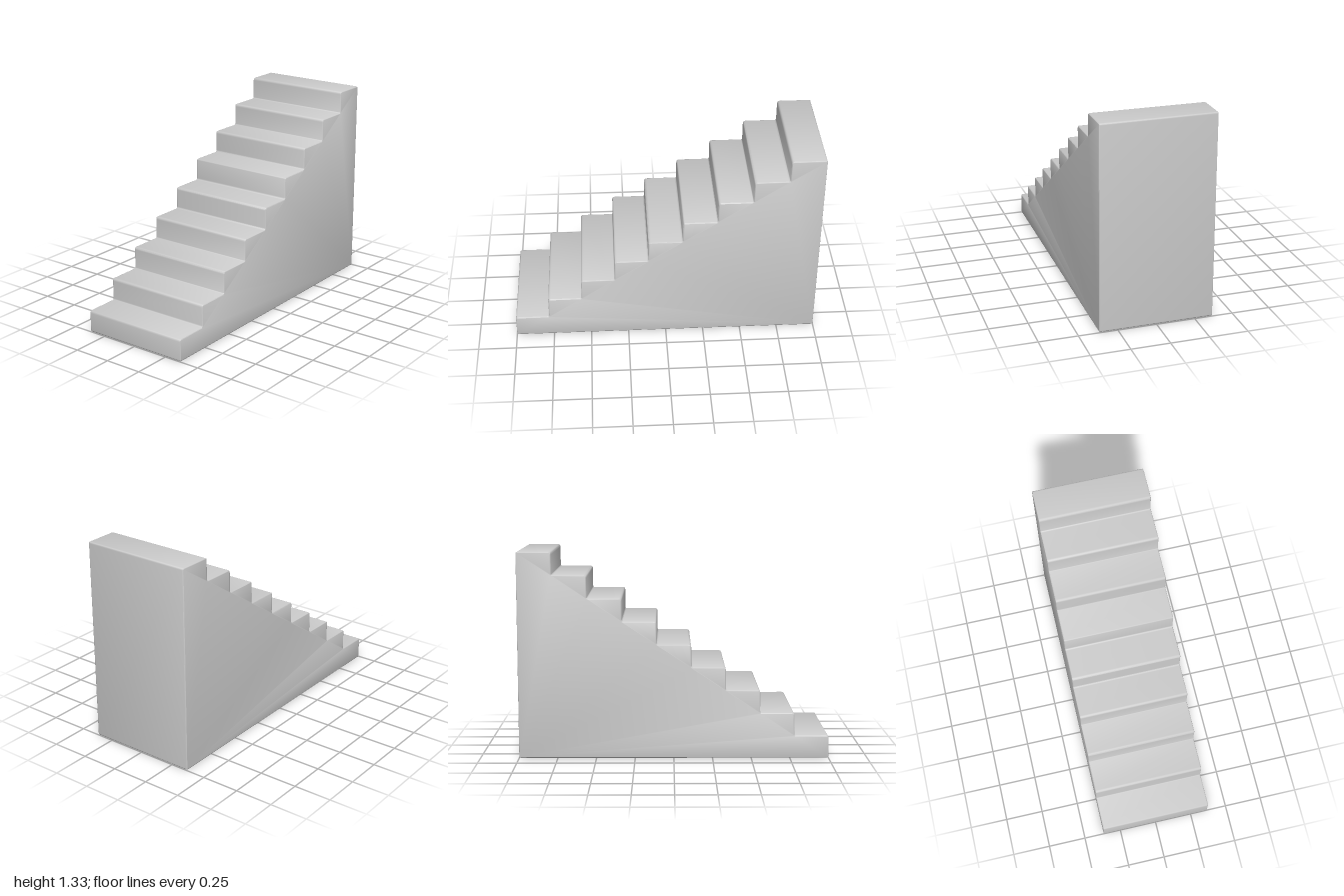
import * as THREE from 'three';
import { toCreasedNormals } from 'three/addons/utils/BufferGeometryUtils.js';

const STEPS = 9, WIDTH = 0.735, LENGTH = 2, HEIGHT = 1.333;

// Closed outline whose corners are softened by a given radius
function roundedOutline(corners) {
  const shape = new THREE.Shape();
  const n = corners.length;
  corners.forEach(({ p, r }, i) => {
    const toward = (q) => p.clone().add(q.clone().sub(p).setLength(r));
    const a = toward(corners[(i + n - 1) % n].p);
    const b = toward(corners[(i + 1) % n].p);
    if (i === 0) shape.moveTo(a.x, a.y);
    else shape.lineTo(a.x, a.y);
    shape.quadraticCurveTo(p.x, p.y, b.x, b.y);
  });
  shape.closePath();
  return shape;
}

export function createModel() {
  const model = new THREE.Group();
  model.name = 'staircase';
  const run = LENGTH / STEPS, rise = HEIGHT / STEPS;

  // Side profile: shape x becomes z, front step first
  const corners = [];
  const add = (z, y, r) => corners.push({ p: new THREE.Vector2(z, y), r });
  for (let i = 0; i < STEPS; i++) {
    const z = LENGTH / 2 - i * run;
    add(z, i * rise, 0.012); // foot of the riser
    add(z, (i + 1) * rise, 0.018); // nosing of the tread
  }
  add(-LENGTH / 2, HEIGHT, 0.012);
  add(-LENGTH / 2, 0, 0.012);

  // Solid flight with slightly softened side edges
  const bevel = 0.006;
  const flight = new THREE.ExtrudeGeometry(roundedOutline(corners), {
    depth: WIDTH - 2 * bevel,
    curveSegments: 4,
    bevelEnabled: true,
    bevelThickness: bevel,
    bevelSize: bevel,
    bevelOffset: -bevel,
    bevelSegments: 2,
  });
  flight.translate(0, 0, -(WIDTH - 2 * bevel) / 2);
  flight.rotateY(-Math.PI / 2);

  const mesh = new THREE.Mesh(
    toCreasedNormals(flight, 0.8),
    new THREE.MeshStandardMaterial({ color: 0xcccccc })
  );
  mesh.name = 'stairFlight';
  model.add(mesh);
  return model;
}
